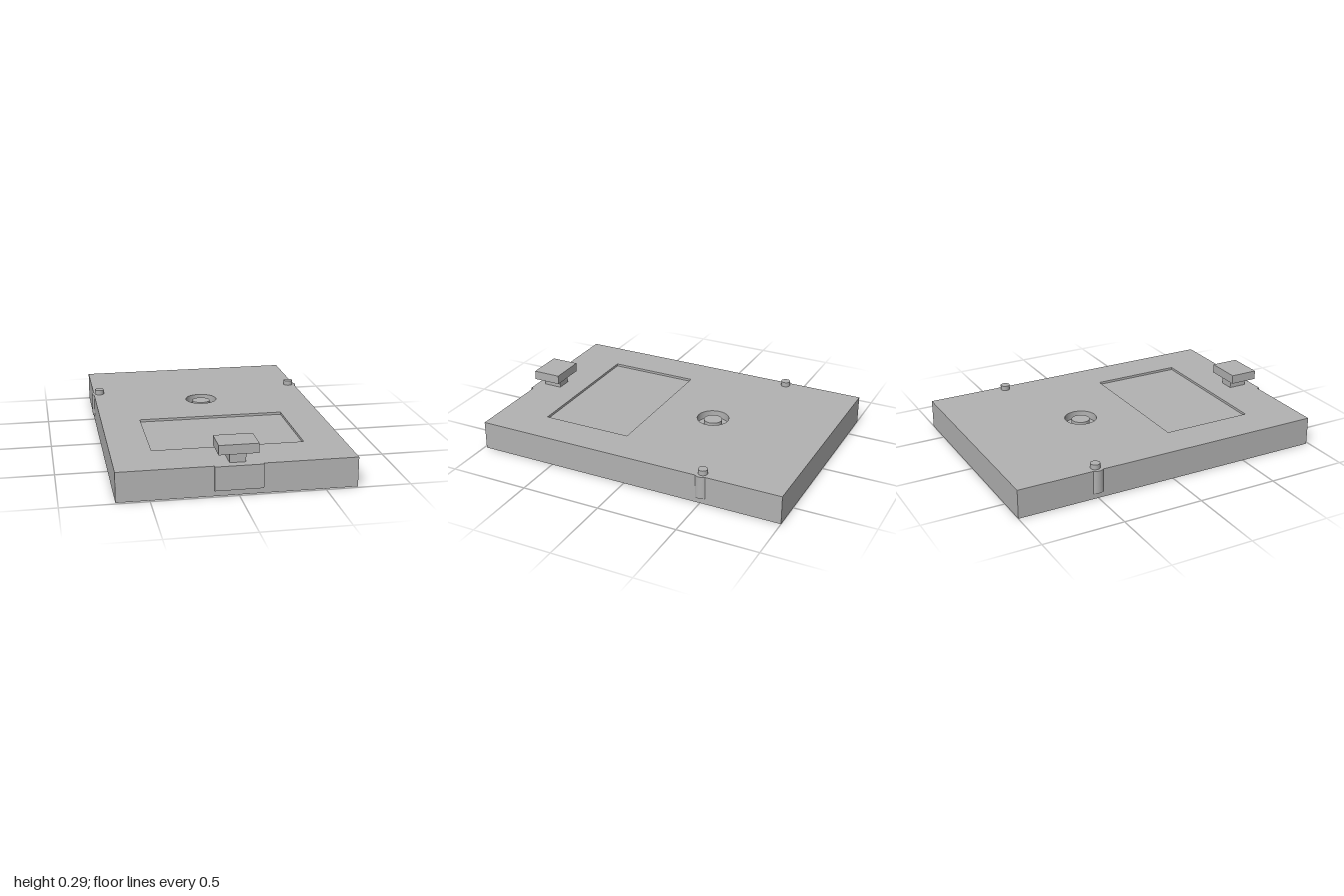
import * as THREE from 'three';
import { toCreasedNormals, mergeGeometries } from 'three/addons/utils/BufferGeometryUtils.js';

// Outlines on the ground plane as [x, z] pairs
const rect = (x0, x1, z0, z1) => [[x0, z0], [x1, z0], [x1, z1], [x0, z1]];
const circle = (x, z, r, n = 32) => Array.from({ length: n }, (_, i) => {
  const a = (i / n) * Math.PI * 2;
  return [x + r * Math.cos(a), z + r * Math.sin(a)];
});

// Flat horizontal face with holes, facing up or down
function plate(outline, y, up, holes = []) {
  const s = up ? -1 : 1;
  const pts = (o) => o.map(([x, z]) => new THREE.Vector2(x, s * z));
  const shape = new THREE.Shape(pts(outline));
  shape.holes = holes.map((h) => new THREE.Path(pts(h)));
  const g = new THREE.ShapeGeometry(shape).toNonIndexed();
  g.deleteAttribute('uv');
  return g.rotateX(s * Math.PI / 2).translate(0, y, 0);
}

// Upright wall along an outline, facing into it or out of it
function wall(outline, y0, y1, outward = false) {
  const pts = outward ? [...outline].reverse() : outline;
  const v = [];
  pts.forEach(([ax, az], i) => {
    const [bx, bz] = pts[(i + 1) % pts.length];
    v.push(ax, y0, az, bx, y0, bz, bx, y1, bz, ax, y0, az, bx, y1, bz, ax, y1, az);
  });
  const g = new THREE.BufferGeometry();
  g.setAttribute('position', new THREE.Float32BufferAttribute(v, 3));
  g.computeVertexNormals();
  return toCreasedNormals(g, 0.5);
}

export function createModel() {
  const model = new THREE.Group();
  model.name = 'slidePlate';
  const grey = new THREE.MeshStandardMaterial({ color: 0xb2b2b2 });
  grey.name = 'grey';

  const add = (name, geometry, x = 0, y = 0, z = 0) => {
    const mesh = new THREE.Mesh(geometry, grey);
    mesh.name = name;
    mesh.position.set(x, y, z);
    model.add(mesh);
  };
  const box = (name, w, y0, y1, z0, z1) =>
    add(name, new THREE.BoxGeometry(w, y1 - y0, z1 - z0), 0, (y0 + y1) / 2, (z0 + z1) / 2);
  const cylinder = (name, r, x, y0, y1, z) =>
    add(name, new THREE.CylinderGeometry(r, r, y1 - y0, 32), x, (y0 + y1) / 2, z);

  const H = 0.178;
  const outer = rect(-0.69, 0.69, -1, 0.985);

  // Recesses in the top: outline and floor height
  const topCuts = [
    [rect(-0.45, 0.45, 0.105, 0.675), H - 0.015],
    [circle(0, -0.265, 0.1), 0.13],
  ];
  // Pockets in the underside: outline and ceiling height
  const bottomCuts = [
    [rect(-0.115, 0.115, 0.645, 0.825), 0.13],
    ...[[-0.455, 0.65], [0.455, 0.65], [0, 0.155]].map(([x, z]) => [circle(x, z, 0.03), 0.1]),
  ];

  // Slab
  add('body', mergeGeometries([
    plate(outer, H, true, topCuts.map((c) => c[0])),
    plate(outer, 0, false, bottomCuts.map((c) => c[0])),
    wall(outer, 0, H, true),
  ]));
  topCuts.forEach(([o, y], i) => add(['panelRecess', 'roundRecess'][i],
    mergeGeometries([plate(o, y, true), wall(o, y, H)])));
  bottomCuts.forEach(([o, y], i) => add(i ? 'screwHole' : 'undersidePocket',
    mergeGeometries([plate(o, y, false), wall(o, 0, y)])));

  // Button standing in the round recess
  cylinder('centreButton', 0.057, 0, 0.13, 0.17, -0.265);

  // Side bosses with pegs
  for (const side of [-1, 1]) {
    cylinder('sideBoss', 0.05, side * 0.652, 0.035, H, -0.5);
    cylinder('peg', 0.029, side * 0.652, H - 0.01, 0.208, -0.5);
  }

  // Front tab and slider knob
  box('frontTab', 0.28, 0.035, H, 0.95, 1);
  box('knobStem', 0.094, H - 0.01, 0.24, 0.832, 0.947);
  box('knobHead', 0.23, 0.237, 0.294, 0.8, 0.978);

  return model;
}
